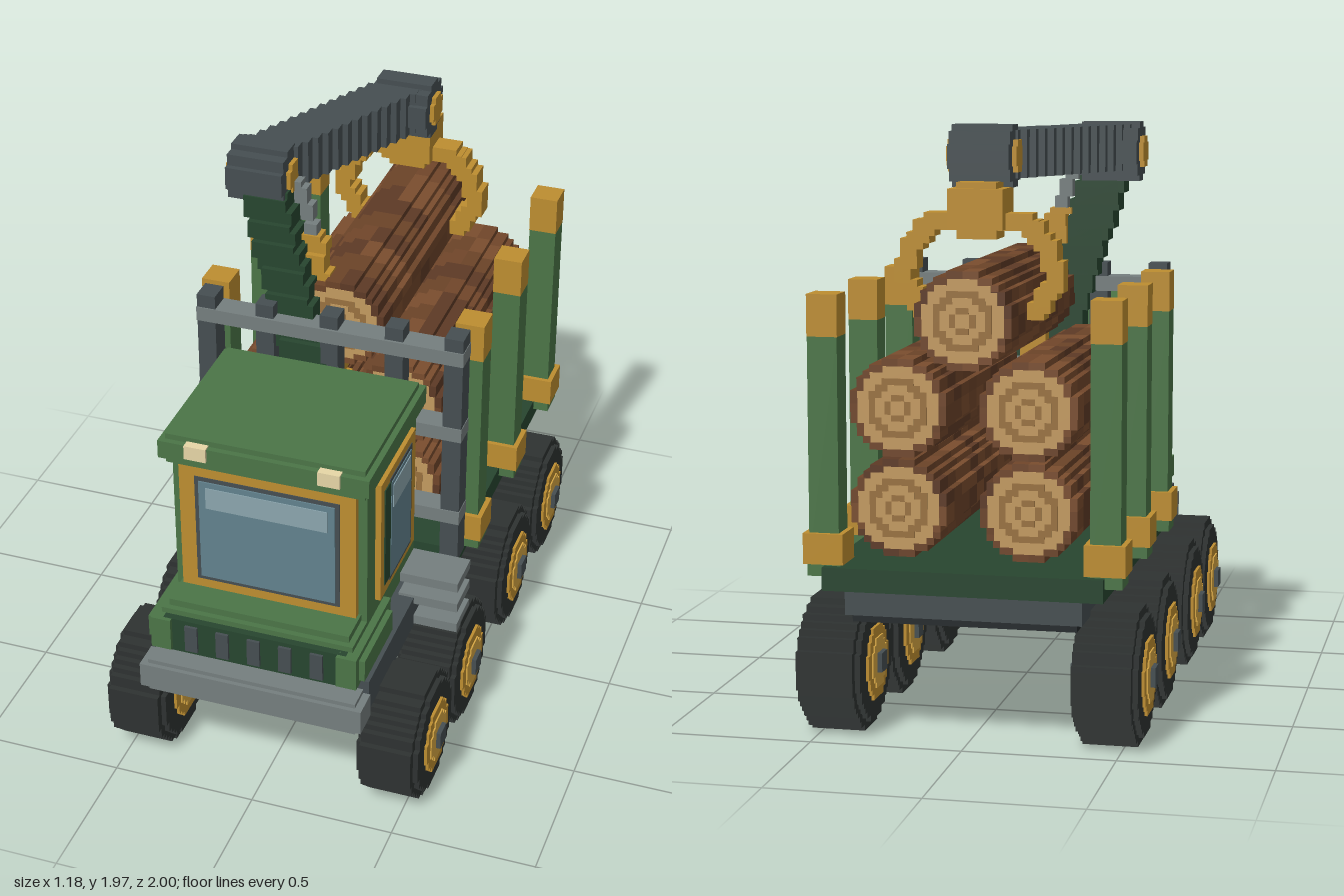
import * as THREE from 'three';
import { mergeGeometries } from 'three/addons/utils/BufferGeometryUtils.js';

const U = 0.0208; // block size
const C = {
  green: 0x4b7547, darkGreen: 0x27452f, gold: 0xbd8d30, brightGold: 0xd6a643,
  grey: 0x454e51, lightGrey: 0x757e7e, tyre: 0x2e3231, belly: 0x23282a,
  glass: 0x62828d, shine: 0x8ba5ad, wood: 0xc39a60, ring: 0x99713f, lamp: 0xe6d6a6
};
const mats = {};
const mat = c => (mats[c] ??= new THREE.MeshStandardMaterial({ color: c, flatShading: true }));

function add(parent, name, color, geo) {
  const m = new THREE.Mesh(geo, mat(color));
  m.name = name;
  parent.add(m);
  return m;
}
const boxGeo = (x0, x1, y0, y1, z0, z1) =>
  new THREE.BoxGeometry(x1 - x0, y1 - y0, z1 - z0).translate((x0 + x1) / 2, (y0 + y1) / 2, (z0 + z1) / 2);
const box = (parent, name, color, ...b) => add(parent, name, color, boxGeo(...b));

// Half widths of the block rows that fill a circle
function rows(r, u = U) {
  const n = Math.round((2 * r) / u), out = [];
  for (let j = 0; j < n; j++) {
    const y = ((j + 0.5) / n) * 2 * r - r;
    out.push({ y0: (j / n) * 2 * r - r, y1: ((j + 1) / n) * 2 * r - r,
      w: r - Math.round((r - Math.sqrt(r * r - y * y)) / u) * u });
  }
  return out;
}
// Stepped disc of thickness d, centred, along z (or along x)
function disc(r, d, alongX = false) {
  const pts = [], put = (x, y) => {
    const p = pts.at(-1);
    if (!p || Math.hypot(p.x - x, p.y - y) > 1e-5) pts.push(new THREE.Vector2(x, y));
  };
  const rs = rows(r);
  rs.forEach(o => { put(o.w, o.y0); put(o.w, o.y1); });
  rs.reverse().forEach(o => { put(-o.w, o.y1); put(-o.w, o.y0); });
  const g = new THREE.ExtrudeGeometry(new THREE.Shape(pts), { depth: d, bevelEnabled: false }).translate(0, 0, -d / 2);
  return alongX ? g.rotateY(Math.PI / 2) : g;
}
// Sloping beam made of slices snapped to the block grid
function beam(parent, name, color, a, b, size) {
  const d = b.map((v, i) => v - a[i]);
  const k = d.map(Math.abs).indexOf(Math.max(...d.map(Math.abs)));
  const n = Math.max(1, Math.round(Math.abs(d[k]) / U)), parts = [];
  for (let i = 0; i < n; i++) {
    const p = a.map((v, j) => {
      const q = v + (d[j] * (i + 0.5)) / n;
      return j === k ? q : Math.round(q / U) * U;
    });
    const s = size.slice();
    s[k] = Math.max(Math.abs(d[k]) / n, s[k] || 0);
    parts.push(new THREE.BoxGeometry(...s).translate(...p));
  }
  return add(parent, name, color, mergeGeometries(parts));
}
function group(parent, name) {
  const g = new THREE.Group();
  g.name = name;
  parent.add(g);
  return g;
}

function makeWheel(parent, x, z) {
  const w = group(parent, 'wheel');
  add(w, 'tyreTread', C.tyre, disc(0.219, 0.18, true));
  add(w, 'tyreShoulder', C.tyre, disc(0.19, 0.215, true));
  add(w, 'rim', C.gold, disc(0.12, 0.235, true));
  add(w, 'rimCentre', C.brightGold, disc(0.083, 0.245, true));
  box(w, 'hubCap', C.grey, -0.138, 0.138, -0.032, 0.032, -0.032, 0.032);
  w.position.set(x, 0.219, z);
}

function makeLog(parent, id, x, y) {
  const log = group(parent, 'log');
  const r = 0.156, z0 = -0.96, z1 = 0.08, segs = 10, step = (z1 - z0) / segs;
  const tones = [0x6b4328, 0x7a4d2e, 0x5d3a25, 0x70462a], bins = tones.map(() => []);
  // Bark rows with patches of different browns
  rows(r).forEach((o, j) => {
    for (let k = 0; k < segs; k++) for (const s of [0, 1]) {
      const h = Math.abs(Math.sin(id * 31.7 + Math.floor(j / 4) * 12.9 + k * 78.2 + s * 37.1) * 43758.5);
      bins[Math.floor((h % 1) * 4)].push(
        boxGeo(s ? 0 : -o.w, s ? o.w : 0, o.y0, o.y1, z0 + k * step, z0 + (k + 1) * step));
    }
  });
  bins.forEach((b, i) => b.length && add(log, 'bark', tones[i], mergeGeometries(b)));
  // Cut ends with growth rings
  [[0.132, C.wood], [0.094, C.ring], [0.073, C.wood], [0.042, C.ring], [0.022, C.wood]].forEach(([rad, c], i) =>
    add(log, 'cutEnd', c, disc(rad, z1 - z0 + 0.004 + i * 0.003)).position.z = (z0 + z1) / 2);
  log.position.set(x, y, 0);
}

function makeCab(parent) {
  const cab = group(parent, 'cab');
  box(cab, 'cabBody', C.green, -0.335, 0.335, 0.6, 1.23, 0.27, 0.775);
  box(cab, 'cabBack', C.darkGreen, -0.31, 0.31, 0.62, 1.2, 0.262, 0.28);
  box(cab, 'roofRim', C.green, -0.36, 0.36, 1.225, 1.29, 0.24, 0.835);
  box(cab, 'roofTop', C.green, -0.34, 0.34, 1.2, 1.31, 0.26, 0.815);
  // Nose with grille
  box(cab, 'nose', C.green, -0.315, 0.315, 0.6, 0.71, 0.7, 0.9);
  box(cab, 'noseSill', C.green, -0.335, 0.335, 0.6, 0.685, 0.6, 0.92);
  box(cab, 'grillePanel', C.darkGreen, -0.32, 0.32, 0.535, 0.665, 0.6, 0.945);
  for (let i = -2; i <= 2; i++)
    box(cab, 'grilleSlot', C.grey, i * 0.11 - 0.022, i * 0.11 + 0.022, 0.55, 0.65, 0.9, 0.955);
  // Windscreen
  box(cab, 'windscreenFrame', C.gold, -0.305, 0.305, 0.71, 1.19, 0.7, 0.8);
  box(cab, 'windscreenSeal', C.grey, -0.25, 0.25, 0.745, 1.155, 0.7, 0.803);
  box(cab, 'windscreen', C.glass, -0.235, 0.235, 0.76, 1.14, 0.7, 0.808);
  box(cab, 'windscreenShine', C.shine, -0.21, 0.21, 1.04, 1.12, 0.7, 0.811);
  for (const s of [-1, 1]) {
    const sideBox = (name, c, x0, x1, ...rest) =>
      box(cab, name, c, Math.min(s * x0, s * x1), Math.max(s * x0, s * x1), ...rest);
    sideBox('roofLamp', C.lamp, 0.19, 0.265, 1.245, 1.295, 0.78, 0.845);
    sideBox('fender', C.green, 0.29, 0.36, 0.545, 0.665, 0.6, 0.96);
    sideBox('fenderFace', C.green, 0.3, 0.38, 0.565, 0.645, 0.64, 0.93);
    sideBox('sideFrame', C.gold, 0.3, 0.355, 0.72, 1.18, 0.335, 0.695);
    sideBox('sidePillar', C.darkGreen, 0.3, 0.359, 0.76, 1.14, 0.6, 0.662);
    sideBox('sideSeal', C.grey, 0.3, 0.358, 0.745, 1.15, 0.38, 0.61);
    sideBox('sideWindow', C.glass, 0.3, 0.361, 0.76, 1.135, 0.395, 0.605);
    sideBox('sideShine', C.shine, 0.3, 0.364, 1.03, 1.12, 0.41, 0.59);
  }
}

function makeCrane(parent) {
  const crane = group(parent, 'crane');
  box(crane, 'turret', C.grey, -0.12, 0.12, 0.83, 1.03, 0.12, 0.275);
  beam(crane, 'lowerBoom', C.darkGreen, [-0.01, 1.0, 0.215], [-0.3, 1.86, -0.01], [0.15, 0.06, 0.1]);
  beam(crane, 'liftCylinder', C.gold, [0.04, 0.95, 0.11], [-0.12, 1.66, 0.0], [0.075, 0, 0.06]);
  beam(crane, 'liftRod', C.lightGrey, [-0.12, 1.64, 0.0], [-0.18, 1.84, -0.03], [0.045, 0, 0.045]);
  beam(crane, 'upperBoom', C.grey, [-0.3, 1.862, -0.015], [0, 1.87, -0.625], [0.165, 0.155, 0.06]);
  for (const [x, y, z] of [[-0.303, 1.857, -0.015], [0.005, 1.868, -0.625]]) {
    add(crane, 'joint', C.grey, disc(0.1, 0.2, true)).position.set(x, y, z);
    add(crane, 'jointPin', C.gold, disc(0.052, 0.23, true)).position.set(x, y, z);
  }
  // Grapple with two curved claws
  const grapple = group(crane, 'grapple');
  box(grapple, 'grappleHead', C.gold, -0.09, 0.09, 1.64, 1.77, -0.79, -0.63);
  box(grapple, 'grappleNeck', C.gold, -0.065, 0.065, 1.61, 1.79, -0.77, -0.65);
  const path = [[0.06, 1.665], [0.18, 1.65], [0.225, 1.57], [0.255, 1.48], [0.225, 1.435], [0.185, 1.37]];
  for (const s of [-1, 1]) for (let i = 1; i < path.length; i++) {
    const [p, q] = [path[i - 1], path[i]];
    beam(grapple, 'claw', C.gold, [s * p[0], p[1], -0.71], [s * q[0], q[1], -0.71], [0.055, 0.055, 0.08]);
  }
}

export function createModel() {
  const truck = new THREE.Group();
  truck.name = 'logTruck';

  // Chassis
  box(truck, 'chassis', C.grey, -0.385, 0.385, 0.42, 0.54, -0.98, 0.9);
  box(truck, 'belly', C.belly, -0.365, 0.365, 0.395, 0.45, -0.96, 0.88);
  box(truck, 'bumper', C.lightGrey, -0.39, 0.39, 0.4, 0.49, 0.9, 1.0);
  box(truck, 'bumperLip', C.lightGrey, -0.365, 0.365, 0.38, 0.505, 0.88, 0.985);
  box(truck, 'bed', C.darkGreen, -0.455, 0.455, 0.5, 0.575, -1.0, 0.15);
  for (const y of [0.43, 0.515, 0.6])
    box(truck, 'step', C.lightGrey, 0.33, 0.54, y, y + 0.035, 0.27, 0.42);
  for (const z of [0.716, 0.3, -0.29, -0.765]) for (const s of [-1, 1]) makeWheel(truck, s * 0.452, z);

  makeCab(truck);

  // Headboard behind the cab
  const rack = group(truck, 'headboard');
  for (const x of [-0.44, 0.44]) box(rack, 'rackPost', C.grey, x - 0.033, x + 0.033, 0.565, 1.46, 0.12, 0.2);
  for (const x of [-0.23, 0, 0.23]) box(rack, 'rackBar', C.grey, x - 0.032, x + 0.032, 0.565, 1.46, 0.125, 0.195);
  for (const y of [0.72, 1.06, 1.36]) box(rack, 'rackRail', C.lightGrey, -0.475, 0.475, y, y + 0.052, 0.118, 0.204);

  // Stakes along the bed
  for (const z of [0.02, -0.44, -0.915]) for (const s of [-1, 1]) {
    const stake = group(truck, 'stake');
    const block = (name, c, h, y0, y1) => box(stake, name, c, -h, h, y0, y1, -h, h);
    block('stakeFoot', C.green, 0.055, 0.54, 0.59);
    block('stakeBase', C.gold, 0.066, 0.58, 0.68);
    block('stakePost', C.green, 0.049, 0.6, 1.31);
    block('stakeCap', C.gold, 0.05, 1.31, 1.445);
    stake.position.set(s * 0.456, 0, z);
  }

  // Load of five logs
  [[-0.21, 0.77], [0.21, 0.77], [-0.21, 1.09], [0.21, 1.09], [0, 1.37]].forEach(([x, y], i) => makeLog(truck, i, x, y));

  makeCrane(truck);
  return truck;
}
